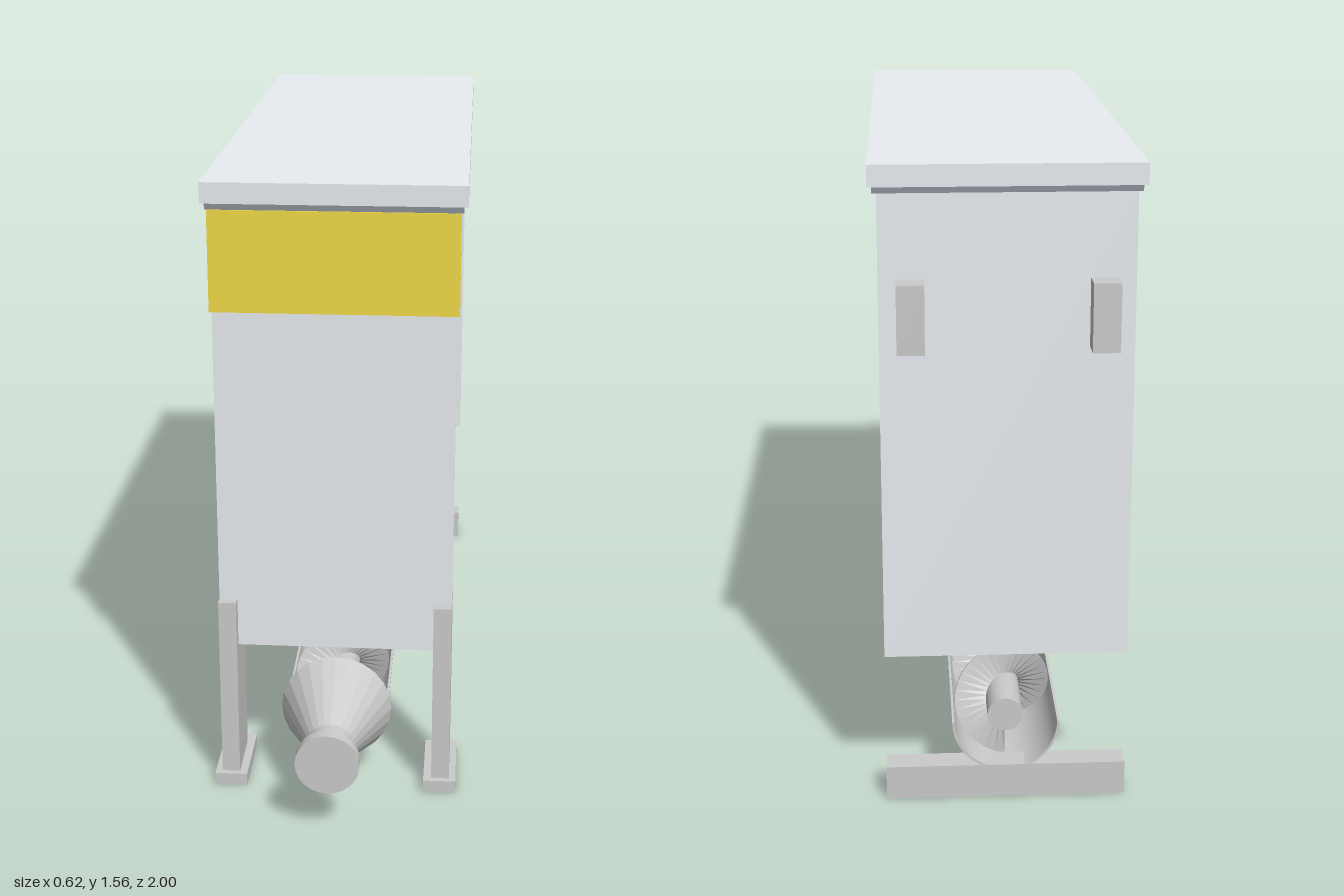
import * as THREE from 'three';

const grey = new THREE.MeshStandardMaterial({ color: 0xcccccc });
const greyFlat = new THREE.MeshStandardMaterial({ color: 0xcccccc, flatShading: true });
const greyOpen = new THREE.MeshStandardMaterial({ color: 0xcccccc, side: THREE.DoubleSide });
const panel = new THREE.MeshStandardMaterial({ color: 0xe9edf1 });
const yellow = new THREE.MeshStandardMaterial({ color: 0xf2da48 });
const dark = new THREE.MeshStandardMaterial({ color: 0x8a9098 });

const AXIS_Y = 0.2; // height of the auger axis

// Screw flight: a ribbon between two radii winding down the z axis
function flightGeometry(rIn, rOut, zStart, pitch, turns, thickness) {
  const perTurn = 32, n = perTurn * turns, pos = [], index = [];
  for (let i = 0; i <= n; i++) {
    const a = Math.PI + (i / perTurn) * Math.PI * 2;
    const z = zStart - (i / perTurn) * pitch;
    for (const [r, dz] of [[rIn, 0], [rOut, 0], [rOut, -thickness], [rIn, -thickness]])
      pos.push(Math.sin(a) * r, Math.cos(a) * r, z + dz);
    if (i === n) break;
    for (let k = 0; k < 3; k++) {
      const p = i * 4 + k, q = p + 4;
      index.push(p, p + 1, q, p + 1, q + 1, q);
    }
  }
  const g = new THREE.BufferGeometry();
  g.setAttribute('position', new THREE.Float32BufferAttribute(pos, 3));
  g.setIndex(index);
  const flat = g.toNonIndexed();
  flat.computeVertexNormals();
  return flat;
}

export function createModel() {
  const model = new THREE.Group();
  model.name = 'hopperWithAuger';

  const add = (name, geometry, material) => {
    const mesh = new THREE.Mesh(geometry, material);
    mesh.name = name;
    model.add(mesh);
    return mesh;
  };
  // Box given by its minimum and maximum along each axis
  const box = (name, x0, x1, y0, y1, z0, z1, material = grey) => {
    const mesh = add(name, new THREE.BoxGeometry(x1 - x0, y1 - y0, z1 - z0), material);
    mesh.position.set((x0 + x1) / 2, (y0 + y1) / 2, (z0 + z1) / 2);
    return mesh;
  };
  // Cylinder or cone lying along z on the auger axis
  const round = (name, rFront, rBack, zBack, zFront, sides, material) => {
    const g = new THREE.CylinderGeometry(rFront, rBack, zFront - zBack, sides);
    g.rotateX(Math.PI / 2);
    add(name, g, material).position.set(0, AXIS_Y, (zBack + zFront) / 2);
  };

  // Hopper lid, seal and end panels
  box('lid', -0.31, 0.31, 1.51, 1.56, -0.955, 0.748, panel);
  box('lidSeal', -0.3, 0.3, 1.495, 1.51, -0.945, 0.742, dark);
  box('frontPanel', -0.29, 0.29, 0.38, 1.495, 0.725, 0.735, panel);
  box('backPanel', -0.29, 0.29, 0.38, 1.495, -0.94, -0.93, panel);
  box('yellowPlate', -0.295, 0.295, 1.25, 1.495, 0.73, 0.746, yellow);

  for (const s of [1, -1]) {
    const side = s > 0 ? 'left' : 'right';
    const mirrored = (name, x0, x1, ...rest) =>
      s > 0 ? box(name, x0, x1, ...rest) : box(name, -x1, -x0, ...rest);

    // Sloping hopper wall
    const wall = new THREE.Shape([[0.29, 1.495], [0.28, 1.495], [0.13, 0.38], [0.14, 0.38]]
      .map(([x, y]) => new THREE.Vector2(s * x, y)));
    const g = new THREE.ExtrudeGeometry(wall, { depth: 1.655, bevelEnabled: false });
    add(side + 'SlopingWall', g, panel).position.z = -0.93;

    // Front legs and rear brackets
    mirrored(side + 'FrontLeg', 0.245, 0.29, 0.03, 0.505, 0.61, 0.76);
    mirrored(side + 'FrontFoot', 0.225, 0.307, 0, 0.032, 0.57, 0.775);
    mirrored(side + 'RearBracket', 0.187, 0.25, 1.14, 1.3, -1, -0.94);
  }
  box('rearCrossbar', -0.29, 0.29, 0, 0.085, -0.938, -0.875);

  // Half-round trough, open at the top
  const trough = new THREE.Shape();
  trough.absarc(0, 0, 0.13, Math.PI, Math.PI * 2, false);
  trough.absarc(0, 0, 0.124, Math.PI * 2, Math.PI, true);
  const troughGeometry = new THREE.ExtrudeGeometry(trough,
    { depth: 1.645, bevelEnabled: false, curveSegments: 24 });
  add('trough', troughGeometry, greyOpen).position.set(0, AXIS_Y, -0.937);

  // Auger
  round('augerShaft', 0.043, 0.043, -0.9, 0.71, 24, grey);
  add('augerFlight', flightGeometry(0.04, 0.12, 0.605, 0.21, 7, 0.006), greyOpen)
    .position.y = AXIS_Y;

  // Outlet cone, pipe and flange
  round('outletCone', 0.057, 0.14, 0.71, 0.905, 24, greyFlat);
  round('outletPipe', 0.057, 0.057, 0.905, 0.97, 24, grey);
  round('outletFlange', 0.078, 0.078, 0.97, 1, 24, grey);

  return model;
}
